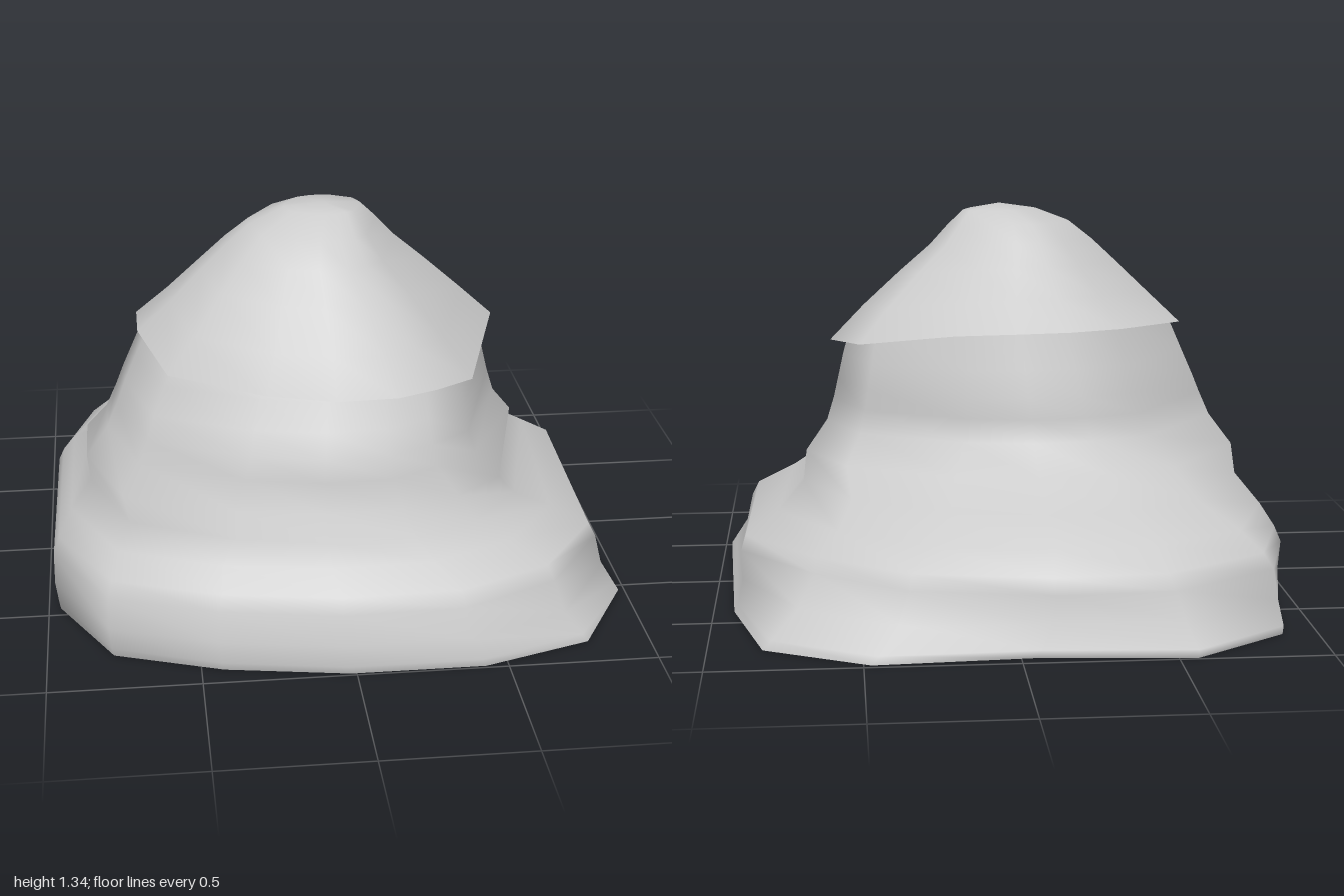
import * as THREE from 'three';

// Plan outlines, clockwise from the back left: [x, z]
const baseOutline = [[-0.58, -1], [-0.06, -0.96], [0.47, -0.99], [0.82, -0.81], [0.93, -0.38],
  [0.98, 0.53], [0.79, 0.87], [0.42, 0.99], [-0.03, 0.99], [-0.44, 0.92], [-0.8, 0.79],
  [-0.98, 0.45], [-0.96, -0.34], [-0.9, -0.78]];
const shelfOutline = [[-0.49, -0.93], [-0.1, -0.95], [0.36, -0.86], [0.66, -0.63], [0.91, -0.32],
  [0.9, 0.5], [0.69, 0.81], [0.37, 0.96], [-0.03, 0.97], [-0.43, 0.9], [-0.78, 0.77],
  [-0.96, 0.43], [-0.95, -0.35], [-0.85, -0.7]];
const capOutline = [[-0.22, -0.375], [-0.04, -0.4], [0.17, -0.36], [0.49, -0.2], [0.59, 0.04],
  [0.44, 0.52], [0.31, 0.61], [0.17, 0.68], [-0.03, 0.69], [-0.26, 0.64], [-0.57, 0.49],
  [-0.66, 0.19], [-0.66, 0.03], [-0.4, -0.31]];
const rimHeights = [0.95, 0.95, 0.94, 0.89, 0.87, 0.82, 0.825, 0.83, 0.83, 0.84, 0.865, 0.91, 0.92, 0.95];
const N = baseOutline.length;

// Scale an outline to the unit square
function normalise(outline) {
  const xs = outline.map(p => p[0]), zs = outline.map(p => p[1]);
  const x0 = Math.min(...xs), x1 = Math.max(...xs), z0 = Math.min(...zs), z1 = Math.max(...zs);
  return outline.map(([x, z]) => [(x - x0) / (x1 - x0), (z - z0) / (z1 - z0)]);
}
const shapes = [baseOutline, shelfOutline, capOutline].map(normalise);

// Cross-section fitted between left, right, front and back limits.
// The blend runs from the base (0) through the shelf (1) to the cap (2).
function section(left, right, front, back, blend, heightAt) {
  const lower = Math.min(Math.floor(blend), 1);
  const mixed = shapes[lower].map((p, i) =>
    p.map((value, k) => THREE.MathUtils.lerp(value, shapes[lower + 1][i][k], blend - lower)));
  return normalise(mixed).map(([u, v], i) =>
    [left + (right - left) * u, heightAt(i), back + (front - back) * v]);
}

// Smooth skin through the sections, from bottom to top, optionally closed at an apex
function loft(name, rings, apex, material) {
  const positions = rings.flat(), index = [];
  for (let r = 0; r < rings.length - 1; r++) {
    for (let i = 0; i < N; i++) {
      const a = r * N + i, b = r * N + (i + 1) % N, c = a + N, d = b + N;
      index.push(a, c, d, a, d, b);
    }
  }
  if (apex) {
    const first = (rings.length - 1) * N;
    for (let i = 0; i < N; i++) index.push(first + i, positions.length, first + (i + 1) % N);
    positions.push(apex);
  }
  const geometry = new THREE.BufferGeometry();
  geometry.setAttribute('position', new THREE.Float32BufferAttribute(positions.flat(), 3));
  geometry.setIndex(index);
  geometry.computeVertexNormals();
  const mesh = new THREE.Mesh(geometry, material);
  mesh.name = name;
  return mesh;
}

export function createModel() {
  const group = new THREE.Group();
  group.name = 'cappedMound';
  const material = new THREE.MeshStandardMaterial({ color: 0xcccccc, side: THREE.DoubleSide });

  // Lumpy body: height, left, right, front, back, blend
  const bodyLevels = [
    [0.0, -0.96, 0.98, 0.99, -0.99, 0],
    [0.03, -0.965, 0.96, 1.0, -1.0, 0.1],
    [0.1, -0.975, 0.915, 0.99, -0.935, 0.6],
    [0.2, -0.975, 0.905, 0.965, -0.94, 1],
    [0.25, -0.955, 0.89, 0.94, -0.91, 1.05],
    [0.32, -0.91, 0.78, 0.87, -0.84, 1.2],
    [0.4, -0.84, 0.69, 0.84, -0.7, 1.5],
    [0.48, -0.85, 0.68, 0.8, -0.51, 1.8],
    [0.58, -0.775, 0.605, 0.77, -0.43, 1.95],
    [0.66, -0.74, 0.58, 0.765, -0.42, 2],
    [0.73, -0.71, 0.565, 0.71, -0.41, 2],
    [0.82, -0.67, 0.545, 0.67, -0.385, 2],
  ];
  const bodyRings = bodyLevels.map(([y, l, r, f, b, blend]) => section(l, r, f, b, blend, () => y));
  // Neck edge, tucked up inside the cap
  bodyRings.push(section(-0.61, 0.52, 0.63, -0.34, 2, i => rimHeights[i] + 0.04));
  group.add(loft('body', bodyRings, null, material));

  // Flat underside
  const outline = bodyRings[0].map(([x, , z]) => new THREE.Vector2(x, z));
  const floorGeometry = new THREE.ShapeGeometry(new THREE.Shape(outline));
  floorGeometry.rotateX(Math.PI / 2);
  const floor = new THREE.Mesh(floorGeometry, material);
  floor.name = 'underside';
  group.add(floor);

  // Overhanging cap: share of the way from rim to peak, then left, right, front, back
  const capLevels = [
    [0, -0.66, 0.59, 0.69, -0.4],
    [0.25, -0.55, 0.47, 0.62, -0.28],
    [0.5, -0.44, 0.34, 0.51, -0.18],
    [0.7, -0.35, 0.23, 0.43, -0.11],
    [0.85, -0.27, 0.165, 0.36, -0.05],
    [0.96, -0.15, 0.11, 0.24, 0.03],
  ];
  const peak = 1.34;
  const capRings = capLevels.map(([t, l, r, f, b]) =>
    section(l, r, f, b, 2, i => rimHeights[i] + (peak - rimHeights[i]) * t));
  group.add(loft('cap', capRings, [-0.02, peak, 0.16], material));

  return group;
}
